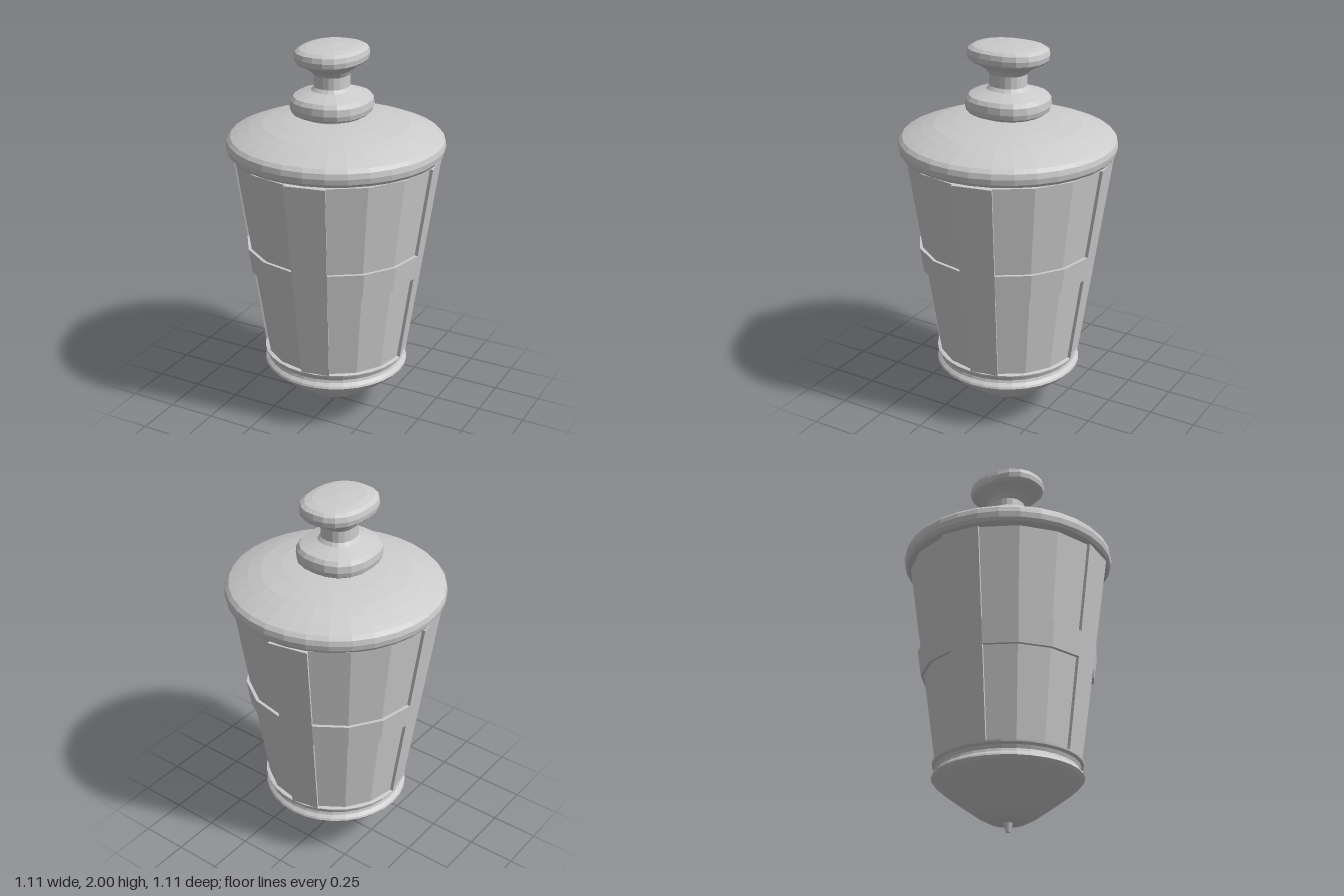
import * as THREE from 'three';

const STEP = Math.PI / 8; // the body has 16 facets
const BOTTOM = 0.34, TOP = 1.43;
const bodyRadius = (y) => 0.381 + (0.538 - 0.381) * (y - BOTTOM) / (TOP - BOTTOM);

export function createModel() {
  const group = new THREE.Group();
  const material = new THREE.MeshStandardMaterial({ color: 0xcccccc, flatShading: true });

  const add = (name, geometry) => {
    const mesh = new THREE.Mesh(geometry, material);
    mesh.name = name;
    group.add(mesh);
    return mesh;
  };
  const lathe = (profile, sides) =>
    new THREE.LatheGeometry(profile.map(([r, y]) => new THREE.Vector2(r, y)), sides);

  // A box bent around the tapered body, covering a run of facets
  const bentBar = (firstFacet, facets, y0, y1) => {
    const geometry = new THREE.BoxGeometry(1, 1, 1, facets, 1, 1);
    const p = geometry.attributes.position;
    for (let i = 0; i < p.count; i++) {
      const angle = (firstFacet + (p.getX(i) + 0.5) * facets) * STEP;
      const y = y0 + (p.getY(i) + 0.5) * (y1 - y0);
      const r = bodyRadius(y) - (p.getZ(i) > 0 ? 0 : 0.04);
      p.setXYZ(i, Math.sin(angle) * r, y, Math.cos(angle) * r);
    }
    geometry.computeVertexNormals();
    return geometry;
  };

  // Pointed base with a grooved collar
  add('base', lathe([
    [0, 0.05], [0.06, 0.05], [0.095, 0.055], [0.15, 0.085], [0.25, 0.157],
    [0.33, 0.217], [0.372, 0.255], [0.384, 0.27], [0.38, 0.28], [0.364, 0.295],
    [0.36, 0.31], [0.367, 0.328], [0.38, 0.338], [0.382, 0.347], [0.37, 0.35], [0, 0.35],
  ], 32));
  add('bottomTip', lathe([[0, 0], [0.01, 0.004], [0.014, 0.015], [0.025, 0.055], [0, 0.055]], 12));

  // Recessed panes
  const inset = 0.017;
  add('panes', lathe([
    [0, BOTTOM], [bodyRadius(BOTTOM) - inset, BOTTOM], [bodyRadius(TOP) - inset, TOP], [0, TOP],
  ], 16));

  // Four uprights, with a crossbar over each set of panes
  for (let k = 0; k < 4; k++) {
    add('upright', bentBar(k * 4, 1, BOTTOM, TOP));
    add('crossbar', bentBar(k * 4 + 1, 3, 0.82, 0.953));
  }

  // Domed lid
  add('lid', lathe([
    [0, 1.437], [0.5, 1.437], [0.54, 1.446], [0.552, 1.462], [0.557, 1.49],
    [0.552, 1.517], [0.535, 1.535], [0.5, 1.55], [0.44, 1.573], [0.375, 1.593],
    [0.27, 1.613], [0.18, 1.623], [0.12, 1.627], [0, 1.627],
  ], 32));

  // Slightly oblong handle: half width in x, half width in z, height
  const handleProfile = [
    [0.13, 0.14, 1.61], [0.125, 0.135, 1.64], [0.18, 0.19, 1.648], [0.195, 0.206, 1.66],
    [0.201, 0.213, 1.685], [0.199, 0.21, 1.72], [0.185, 0.195, 1.74], [0.14, 0.15, 1.755],
    [0.1, 0.108, 1.768], [0.086, 0.094, 1.785], [0.086, 0.094, 1.845], [0.1, 0.12, 1.87],
    [0.128, 0.158, 1.893], [0.155, 0.193, 1.908], [0.167, 0.205, 1.92], [0.171, 0.21, 1.945],
    [0.166, 0.204, 1.97], [0.148, 0.183, 1.983], [0.115, 0.145, 1.991], [0, 0, 2],
  ];
  const handle = lathe(handleProfile.map(([rx, , y]) => [rx, y]), 20);
  const p = handle.attributes.position;
  const power = 2.35;
  for (let i = 0; i < p.count; i++) {
    const [rx, rz, y] = handleProfile[i % handleProfile.length];
    const angle = Math.floor(i / handleProfile.length) / 20 * Math.PI * 2;
    const s = Math.sin(angle), c = Math.cos(angle);
    const f = (Math.abs(s) ** power + Math.abs(c) ** power) ** (-1 / power);
    p.setXYZ(i, s * f * rx, y, c * f * rz);
  }
  handle.computeVertexNormals();
  add('handle', handle).position.set(-0.017, 0, 0.008);

  return group;
}
